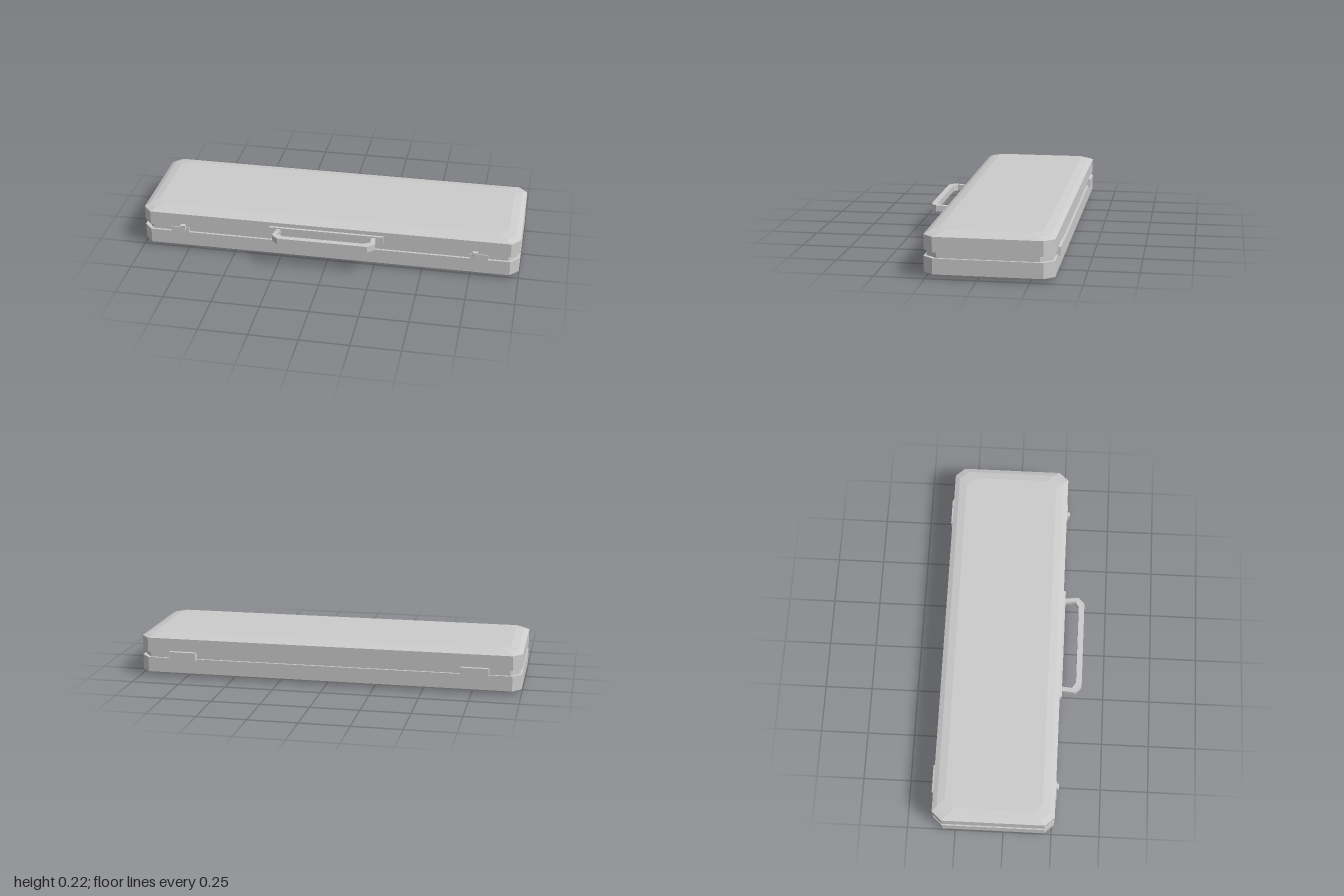
import * as THREE from 'three';

const material = new THREE.MeshStandardMaterial({ color: 0xcccccc, flatShading: true });
const BACK = -0.365, FRONT = 0.263; // z limits of the case body

// Eight-cornered outline of the case, pulled in by inset
function outline(inset, cx, cz) {
  const x = 1 - inset, f = FRONT - inset, b = BACK + inset;
  return [[x, b + cz], [x, f - cz], [x - cx, f], [-x + cx, f],
    [-x, f - cz], [-x, b + cz], [-x + cx, b], [x - cx, b]];
}

// Closed solid through stacked outlines; each level is [y, inset]
function loft(levels, cx = 0.045, cz = 0.05) {
  const rings = levels.map(([y, inset]) => outline(inset, cx, cz).map(([x, z]) => [x, y, z]));
  const pos = [];
  const tri = (a, b, c) => pos.push(...a, ...b, ...c);
  const n = 8, last = rings.length - 1, mid = (BACK + FRONT) / 2;
  for (let i = 0; i < n; i++) {
    const j = (i + 1) % n;
    for (let r = 0; r < last; r++) {
      const lo = rings[r], hi = rings[r + 1];
      tri(lo[i], hi[i], lo[j]);
      tri(hi[i], hi[j], lo[j]);
    }
    tri([0, levels[0][0], mid], rings[0][i], rings[0][j]);
    tri([0, levels[last][0], mid], rings[last][j], rings[last][i]);
  }
  const g = new THREE.BufferGeometry();
  g.setAttribute('position', new THREE.Float32BufferAttribute(pos, 3));
  g.computeVertexNormals();
  return g;
}

// Box between limits whose outer z face is shrunk by bevel
function plate(x0, x1, y0, y1, zIn, zOut, bevel = 0) {
  const g = new THREE.BoxGeometry(x1 - x0, y1 - y0, Math.abs(zOut - zIn));
  const p = g.attributes.position, dir = Math.sign(zOut - zIn);
  for (let i = 0; i < p.count; i++) {
    if (p.getZ(i) * dir > 0) {
      p.setX(i, p.getX(i) - Math.sign(p.getX(i)) * bevel);
      p.setY(i, p.getY(i) - Math.sign(p.getY(i)) * bevel);
    }
  }
  g.translate((x0 + x1) / 2, (y0 + y1) / 2, (zIn + zOut) / 2);
  g.computeVertexNormals();
  return g;
}

// Angular carrying handle, slimmer where it meets the case
function handleGeometry() {
  const half = [[0.262, 0.268], [0.27, 0.345], [0.235, 0.377]];
  const inner = [[0.213, 0.347], [0.245, 0.327], [0.238, 0.268]];
  const mirror = (pts) => pts.map(([x, z]) => [-x, z]).reverse();
  const pts = [...half, ...mirror(half), ...mirror(inner), ...inner];
  const shape = new THREE.Shape(pts.map(([x, z]) => new THREE.Vector2(x, -z)));
  const g = new THREE.ExtrudeGeometry(shape, { depth: 0.033, bevelEnabled: false });
  g.rotateX(-Math.PI / 2);
  g.translate(-0.005, -0.0165, 0);
  const p = g.attributes.position;
  for (let i = 0; i < p.count; i++) {
    if (p.getZ(i) < 0.3) p.setY(i, p.getY(i) * 0.75);
  }
  g.translate(0, 0.1625, 0);
  g.computeVertexNormals();
  return g;
}

export function createModel() {
  const model = new THREE.Group();
  const add = (name, geometry) => {
    const mesh = new THREE.Mesh(geometry, material);
    mesh.name = name;
    model.add(mesh);
  };

  // Two shells with a recessed seam between them
  add('lowerShell', loft([[0, 0.065], [0.009, 0.025], [0.022, 0], [0.1, 0]]));
  add('seam', loft([[0.095, 0.012], [0.135, 0.012]], 0.045, 0.056));
  add('lid', loft([[0.13, 0], [0.205, 0], [0.217, 0.025], [0.225, 0.065]]));

  // Handle and its mounting plate
  add('handlePlate', plate(-0.308, 0.3, 0.14, 0.185, 0.255, 0.274, 0.003));
  add('handle', handleGeometry());

  // Front latches and rear hinges, mirrored
  for (const s of [-1, 1]) {
    const x = s * 0.775, px = s * 0.793, hx = s * 0.765;
    add('latchPlate', plate(px - 0.048, px + 0.048, 0.1, 0.13, 0.245, 0.268));
    add('latchButton', plate(x - 0.015, x + 0.015, 0.11, 0.147, 0.255, 0.28, 0.003));
    add('hinge', plate(hx - 0.075, hx + 0.075, 0.087, 0.141, -0.345, -0.377, 0.005));
  }
  return model;
}
